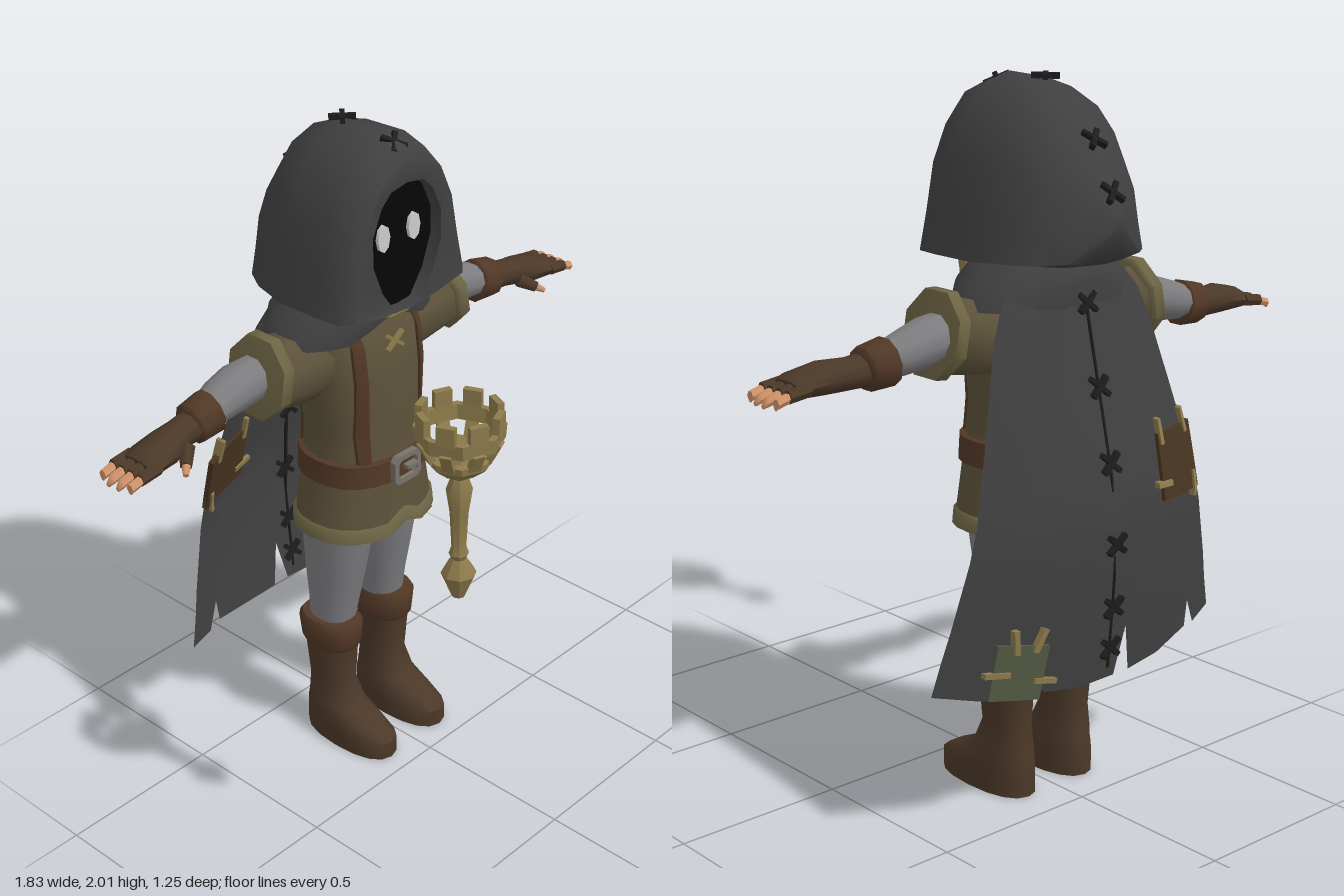
import * as THREE from 'three';
import { toCreasedNormals, mergeVertices } from 'three/addons/utils/BufferGeometryUtils.js';

const C = { cloth: 0x404040, tunic: 0x5c523a, trim: 0x6c6444, leather: 0x4b3828, belt: 0x523826,
  grey: 0x7d7d80, skin: 0xd0936a, gold: 0x8d7b4c, metal: 0x77736a, black: 0x060606, white: 0xdddddd,
  brownPatch: 0x483420, greenPatch: 0x525a42, thread: 0x1c1c1c };
const V = (x, y, z) => new THREE.Vector3(x, y, z);
const lerp = THREE.MathUtils.lerp;

function add(parent, name, color, geo, double) {
  const mat = new THREE.MeshStandardMaterial({ color });
  if (double) mat.side = THREE.DoubleSide;
  const mesh = new THREE.Mesh(geo, mat);
  mesh.name = name;
  parent.add(mesh);
  return mesh;
}

// Skin a list of closed rings, with optional end caps
function loft(rings, capStart = true, capEnd = true) {
  const pos = [], idx = [], n = rings[0].length;
  rings.forEach(r => r.forEach(p => pos.push(p.x, p.y, p.z)));
  for (let j = 0; j < rings.length - 1; j++) for (let i = 0; i < n; i++) {
    const a = j * n + i, c = j * n + (i + 1) % n;
    idx.push(a, a + n, c, c, a + n, c + n);
  }
  const cap = (ring, base, flip) => {
    const m = ring.reduce((s, p) => s.add(p), V(0, 0, 0)).divideScalar(n), k = pos.length / 3;
    pos.push(m.x, m.y, m.z);
    for (let i = 0; i < n; i++) {
      const a = base + i, b = base + (i + 1) % n;
      idx.push(k, flip ? b : a, flip ? a : b);
    }
  };
  if (capStart) cap(rings[0], 0, false);
  if (capEnd) cap(rings[rings.length - 1], (rings.length - 1) * n, true);
  const g = new THREE.BufferGeometry();
  g.setAttribute('position', new THREE.Float32BufferAttribute(pos, 3));
  g.setIndex(idx);
  return toCreasedNormals(g, 0.95);
}

const pw = (v, p) => Math.sign(v) * Math.abs(v) ** (2 / p);
// Upright rings: [y, centre x, half width, front z, back z]
const upright = (list, n = 16, p = 2.3) => list.map(([y, cx, rx, zf, zb]) =>
  Array.from({ length: n }, (_, i) => {
    const a = i / n * Math.PI * 2;
    return V(cx + rx * pw(Math.cos(a), p), y, (zf + zb) / 2 + (zf - zb) / 2 * pw(Math.sin(a), p));
  }));
// Sideways rings: [x, centre y, centre z, half height, half depth], tilted by a shear
const sideways = (list, n = 10, tilt = 0) => list.map(([x, cy, cz, ry, rz]) =>
  Array.from({ length: n }, (_, i) => {
    const a = (i + 0.5) / n * Math.PI * 2, y = ry * Math.cos(a);
    return V(x - tilt * y, cy + y, cz - rz * Math.sin(a));
  }));

function bend(geo, fn) {
  const p = geo.attributes.position, v = V(0, 0, 0);
  for (let i = 0; i < p.count; i++) { fn(v.fromBufferAttribute(p, i)); p.setXYZ(i, v.x, v.y, v.z); }
  geo.computeVertexNormals();
  return geo;
}
// Interpolate rows sorted by rising first entry
function sample(rows, y) {
  let i = 0;
  while (i < rows.length - 2 && y > rows[i + 1][0]) i++;
  const a = rows[i], b = rows[i + 1], t = THREE.MathUtils.clamp((y - a[0]) / (b[0] - a[0]), 0, 1);
  return a.map((v, k) => lerp(v, b[k], t));
}

const TORSO = [[0.8, 0, 0.215, -0.1, -0.44], [0.95, 0, 0.19, -0.11, -0.425], [1.03, 0, 0.18, -0.115, -0.42],
  [1.12, 0, 0.172, -0.12, -0.42], [1.28, 0, 0.198, -0.125, -0.44], [1.4, 0, 0.2, -0.14, -0.45],
  [1.47, 0, 0.16, -0.18, -0.44], [1.53, 0, 0.09, -0.22, -0.4]];
function torsoZ(x, y, side) {
  const [, , rx, zf, zb] = sample(TORSO, y), p = 2.3;
  return (zf + zb) / 2 + side * (zf - zb) / 2 * Math.max(0, 1 - Math.abs(x / rx) ** p) ** (1 / p);
}

const CAPE = [[0.38, -0.585], [0.6, -0.605], [0.85, -0.615], [1.1, -0.56], [1.3, -0.51], [1.52, -0.46]];
const capeHalf = y => y > 1.4 ? lerp(0.27, 0.17, (y - 1.4) / 0.12) : lerp(0.53, 0.27, (y - 0.43) / 0.97);
const capeZ = (x, y) => sample(CAPE, y)[1] + (0.05 + 0.07 * THREE.MathUtils.clamp(1.5 - y, 0, 1)) * (x / capeHalf(y)) ** 2;

// Thin block wrapped onto the cape
function onCape(parent, name, color, x, y, w, h, angle, d = 0.02) {
  const g = new THREE.BoxGeometry(w, h, d, 4, 4, 1).rotateZ(angle).translate(x, y, 0);
  add(parent, name, color, bend(g, v => { v.z += capeZ(v.x, v.y); }));
}

function buildSide(g) {
  // Boot with cuff, then leg
  add(g, 'boot', C.leather, loft(upright([[0, 0.11, 0.078, -0.06, -0.4], [0.055, 0.11, 0.078, -0.06, -0.4],
    [0.09, 0.11, 0.074, -0.12, -0.398], [0.125, 0.11, 0.068, -0.195, -0.39], [0.2, 0.11, 0.055, -0.228, -0.385],
    [0.36, 0.113, 0.066, -0.215, -0.395]])));
  add(g, 'bootCuff', C.belt, loft(upright([[0.335, 0.113, 0.068, -0.215, -0.398], [0.35, 0.113, 0.076, -0.207, -0.403],
    [0.42, 0.115, 0.08, -0.2, -0.41], [0.435, 0.115, 0.07, -0.21, -0.4]])));
  add(g, 'leg', C.grey, loft(upright([[0.42, 0.105, 0.062, -0.235, -0.375], [0.5, 0.1, 0.068, -0.22, -0.382],
    [0.62, 0.097, 0.08, -0.195, -0.392], [0.8, 0.095, 0.092, -0.16, -0.4], [0.92, 0.09, 0.09, -0.15, -0.4]])));
  // Sleeve, its hem and the bare arm cloth
  add(g, 'sleeve', C.tunic, loft(sideways([[0.13, 1.33, -0.3, 0.11, 0.11], [0.25, 1.335, -0.3, 0.105, 0.1],
    [0.36, 1.355, -0.3, 0.108, 0.105]], 8, 0.15)));
  add(g, 'sleeveHem', C.trim, loft(sideways([[0.335, 1.352, -0.3, 0.112, 0.108], [0.345, 1.355, -0.3, 0.124, 0.118],
    [0.38, 1.358, -0.3, 0.122, 0.116], [0.384, 1.358, -0.3, 0.085, 0.08]], 8, 0.18)));
  add(g, 'arm', C.grey, loft(sideways([[0.33, 1.36, -0.31, 0.06, 0.065], [0.43, 1.345, -0.32, 0.066, 0.07],
    [0.5, 1.33, -0.32, 0.058, 0.064], [0.57, 1.315, -0.315, 0.045, 0.05]])));
  // Fingerless glove
  add(g, 'gloveCuff', C.belt, loft(sideways([[0.53, 1.315, -0.315, 0.05, 0.052], [0.538, 1.315, -0.315, 0.066, 0.064],
    [0.61, 1.305, -0.312, 0.06, 0.06], [0.62, 1.305, -0.31, 0.042, 0.046]], 10, -0.15)));
  add(g, 'glove', C.leather, loft(sideways([[0.59, 1.305, -0.31, 0.046, 0.05], [0.66, 1.3, -0.305, 0.042, 0.045],
    [0.73, 1.297, -0.285, 0.043, 0.062], [0.8, 1.29, -0.28, 0.034, 0.066], [0.83, 1.285, -0.28, 0.022, 0.062]])));
  for (let i = 0; i < 4; i++) {
    const z = -0.335 + i * 0.036, e = 0.918 - Math.abs(i - 1.4) * 0.012;
    add(g, 'gloveFinger', C.leather, loft(sideways([[0.8, 1.288, z, 0.018, 0.018], [0.865, 1.28, z, 0.018, 0.017]], 6)));
    add(g, 'fingertip', C.skin, loft(sideways([[0.855, 1.28, z, 0.014, 0.014], [0.9, 1.268, z, 0.014, 0.013],
      [e, 1.258, z, 0.007, 0.007]], 6)));
  }
  const thumb = (r1, r2, len) => new THREE.CylinderGeometry(r1, r2, len, 6);
  const dir = V(0.6, -0.4, 0.6).normalize(), q = new THREE.Quaternion().setFromUnitVectors(V(0, 1, 0), dir);
  [['gloveThumb', C.leather, 0.017, 0.024, 0.06, 0], ['thumbTip', C.skin, 0.008, 0.014, 0.035, 0.042]].forEach(([n, c, a, b, l, o]) => {
    const m = add(g, n, c, thumb(a, b, l));
    m.quaternion.copy(q);
    m.position.copy(V(0.7, 1.275, -0.232).addScaledVector(dir, o));
  });
  // Harness straps, front and back
  for (const s of [1, -1]) {
    const geo = new THREE.BoxGeometry(0.032, 0.43, 0.018, 2, 8, 1).translate(0.122, 1.23, 0);
    add(g, 'strap', C.belt, bend(geo, v => { v.z += torsoZ(v.x, v.y, s); }));
  }
  // Eye
  const eye = add(g, 'eye', C.white, new THREE.CylinderGeometry(0.024, 0.024, 0.012, 8).rotateX(Math.PI / 2));
  eye.scale.y = 1.7;
  eye.position.set(0.06, 1.72, -0.118);
}

function buildTunic(g) {
  const notch = v => { if (v.y < 0.84 && v.z > -0.27) v.y += 0.03 * Math.max(0, 1 - Math.abs(v.x) / 0.05); };
  const hem = upright([[0.81, 0, 0.213, -0.105, -0.435], [0.78, 0, 0.212, -0.1, -0.44], [0.775, 0, 0.224, -0.092, -0.447],
    [0.81, 0, 0.222, -0.095, -0.447], [0.82, 0, 0.212, -0.103, -0.438]], 24);
  hem.flat().forEach(notch);
  add(g, 'tunic', C.tunic, loft(upright(TORSO, 24), false), true);
  add(g, 'tunicHem', C.trim, loft(hem, false, false), true);
  add(g, 'belt', C.belt, loft(upright([[0.95, 0, 0.185, -0.115, -0.42], [0.955, 0, 0.2, -0.098, -0.435],
    [1.025, 0, 0.195, -0.1, -0.432], [1.03, 0, 0.175, -0.12, -0.415]], 24)));
  // Buckle: chamfered frame with a tongue
  const oct = (w, h, c, P) => new P([[w, h - c], [w - c, h], [c - w, h], [-w, h - c], [-w, c - h], [c - w, -h], [w - c, -h], [w, c - h]]
    .map(([x, y]) => new THREE.Vector2(x, y)));
  const frame = oct(0.055, 0.046, 0.015, THREE.Shape);
  frame.holes.push(oct(0.038, 0.03, 0.01, THREE.Path));
  add(g, 'buckle', C.metal, new THREE.ExtrudeGeometry(frame, { depth: 0.02, bevelEnabled: false })).position.set(0, 0.99, -0.105);
  add(g, 'buckleTongue', C.metal, new THREE.BoxGeometry(0.05, 0.012, 0.02)).position.set(0.02, 0.99, -0.09);
  // Neck lacing and cloak clasp
  for (const s of [-1, 1]) {
    const lace = add(g, 'lace', C.gold, new THREE.BoxGeometry(0.075, 0.01, 0.014));
    lace.position.set(0, 1.385, -0.133);
    lace.rotation.z = s * 0.65;
  }
  add(g, 'clasp', C.gold, new THREE.CapsuleGeometry(0.014, 0.065, 3, 8).rotateZ(Math.PI / 2)).position.set(0, 1.48, -0.125);
}

function buildHood(g) {
  const mirror = (half, z) => [...half.map(([x, y]) => V(-x, y, z)),
    ...half.slice(1, -1).reverse().map(([x, y]) => V(x, y, z))];
  const opening = [[0, 1.875], [0.062, 1.865], [0.1, 1.83], [0.135, 1.755], [0.135, 1.67], [0.1, 1.58], [0.05, 1.51], [0, 1.505]];
  const outer = (sx, top, low) => [[0, 1], [0.095, 0.93], [0.165, 0.75], [0.21, 0.53], [0.235, 0.24], [0.26, 0], [0.13, -0.05], [0, -0.07]]
    .map(([x, t]) => [x * sx, low + t * (top - low)]);
  const rings = [mirror(opening, -0.13), mirror(opening, -0.082),
    ...[[-0.075, 0.84, 1.945, 1.535], [-0.105, 0.97, 1.975, 1.535], [-0.18, 1, 2, 1.535], [-0.32, 1, 1.995, 1.535], [-0.43, 0.9, 1.95, 1.54],
      [-0.5, 0.74, 1.85, 1.54], [-0.55, 0.5, 1.76, 1.545], [-0.6, 0.1, 1.665, 1.62]]
      .map(([z, s, t, l]) => mirror(outer(s, t, l), z))];
  add(g, 'hood', C.cloth, loft(rings, false), true);
  const face = new THREE.Shape([...opening, ...opening.slice(1, -1).reverse().map(([x, y]) => [-x, y])].map(([x, y]) => new THREE.Vector2(x, y)));
  add(g, 'shadowedFace', C.black, new THREE.ShapeGeometry(face), true).position.z = -0.122;
  // Crossed stitches along the crown
  for (const [y, z, tilt] of [[1.975, -0.13, -1.0], [1.998, -0.32, -1.6], [1.85, -0.505, -2.3], [1.72, -0.575, -2.5]])
    for (const s of [-1, 1]) {
      const m = add(g, 'hoodStitch', C.thread, new THREE.BoxGeometry(0.075, 0.014, 0.016).rotateZ(s * 0.8).rotateX(tilt));
      m.position.set(0, y, z);
    }
}

function buildCape(g) {
  // Shoulder mantle, raised at the throat
  const mantle = upright([[1.41, 0, 0.285, -0.145, -0.485], [1.47, 0, 0.255, -0.135, -0.49], [1.525, 0, 0.17, -0.14, -0.475],
    [1.56, 0, 0.11, -0.2, -0.42]], 24, 2.2);
  mantle[0].forEach(v => { if (v.z > -0.3) v.y += 0.06 * Math.max(0, 1 - Math.abs(v.x) / 0.14); });
  add(g, 'mantle', C.cloth, loft(mantle, false), true);
  // Cloth columns: [position across, hem height], with torn notches
  const cols = [[-1, 0.44], [-0.79, 0.425], [-0.74, 0.505], [-0.69, 0.43], [-0.4, 0.4], [-0.16, 0.39], [-0.12, 0.53],
    [-0.05, 0.39], [0.2, 0.385], [0.4, 0.4], [0.48, 0.44], [0.56, 0.4], [0.75, 0.41], [1, 0.44]];
  const rows = 12, pos = [], idx = [];
  cols.forEach(([u, hem]) => {
    for (let j = 0; j <= rows; j++) {
      const y = lerp(1.51, hem, j / rows), x = u * capeHalf(y);
      pos.push(x, y, capeZ(x, y));
    }
  });
  for (let i = 0; i < cols.length - 1; i++) for (let j = 0; j < rows; j++) {
    const a = i * (rows + 1) + j, b = a + rows + 1;
    idx.push(a, b, a + 1, b, b + 1, a + 1);
  }
  const geo = new THREE.BufferGeometry();
  geo.setAttribute('position', new THREE.Float32BufferAttribute(pos, 3));
  geo.setIndex(idx);
  geo.computeVertexNormals();
  add(g, 'cape', C.cloth, geo, true);
  // Patches with loose stitches
  onCape(g, 'brownPatch', C.brownPatch, -0.305, 0.94, 0.2, 0.18, 0.04);
  [[-0.36, 1.04, 1.4], [-0.22, 1.04, 1.5], [-0.375, 0.86, 1.7], [-0.21, 0.9, 0.1]]
    .forEach(([x, y, a]) => onCape(g, 'patchStitch', C.gold, x, y, 0.07, 0.015, a, 0.034));
  onCape(g, 'greenPatch', C.greenPatch, 0.3, 0.475, 0.15, 0.155, 0.15);
  [[0.245, 0.56, 2], [0.315, 0.565, 1.5], [0.365, 0.48, 0.1], [0.225, 0.44, 0.2]]
    .forEach(([x, y, a]) => onCape(g, 'patchStitch', C.gold, x, y, 0.07, 0.015, a, 0.034));
  // Centre seam with crossed stitches
  onCape(g, 'capeSeam', C.thread, 0, 0.96, 0.006, 1.08, 0, 0.01);
  for (const y of [1.42, 1.2, 1.0, 0.78, 0.6, 0.48])
    for (const s of [-1, 1]) onCape(g, 'capeStitch', C.thread, 0, y, 0.075, 0.014, s * 0.7, 0.03);
}

function buildScepter(g) {
  const lathe = (pts, n = 8) => toCreasedNormals(mergeVertices(new THREE.LatheGeometry(pts.map(([r, y]) => new THREE.Vector2(r, y)), n)), 0.6);
  add(g, 'scepterHandle', C.gold, lathe([[0, 1.04], [0.018, 1.05], [0.046, 1.12], [0.036, 1.14], [0.02, 1.165], [0.026, 1.18], [0.019, 1.2],
    [0.024, 1.3], [0.034, 1.37], [0.022, 1.405], [0.036, 1.415], [0.036, 1.43], [0, 1.435]]));
  // Open basket head: bowl, struts, rim and battlements
  add(g, 'scepterBowl', C.gold, lathe([[0, 1.42], [0.045, 1.42], [0.085, 1.455], [0.088, 1.475], [0.07, 1.478], [0.04, 1.45], [0.03, 1.47], [0, 1.48]]));
  add(g, 'scepterRim', C.gold, lathe([[0.095, 1.515], [0.113, 1.515], [0.116, 1.555], [0.098, 1.555], [0.095, 1.515]]));
  for (let i = 0; i < 8; i++) {
    const arm = new THREE.Group();
    arm.name = 'scepterRib';
    arm.rotation.y = (i + 0.5) / 8 * Math.PI * 2;
    const strut = add(arm, 'strut', C.gold, new THREE.BoxGeometry(0.03, 0.06, 0.018));
    strut.position.set(0, 1.495, 0.09);
    strut.rotation.x = 0.45;
    add(arm, 'battlement', C.gold, new THREE.BoxGeometry(0.048, 0.052, 0.018)).position.set(0, 1.574, 0.1);
    g.add(arm);
  }
  g.position.set(-0.45, 0, 0.505);
}

export function createModel() {
  const model = new THREE.Group();
  model.name = 'hoodedTraveller';
  const part = (name, fn) => { const g = new THREE.Group(); g.name = name; fn(g); model.add(g); return g; };
  part('leftSide', buildSide);
  part('rightSide', buildSide).scale.x = -1;
  part('clothes', buildTunic);
  part('headwear', buildHood);
  part('cloak', buildCape);
  part('scepter', buildScepter);
  return model;
}
